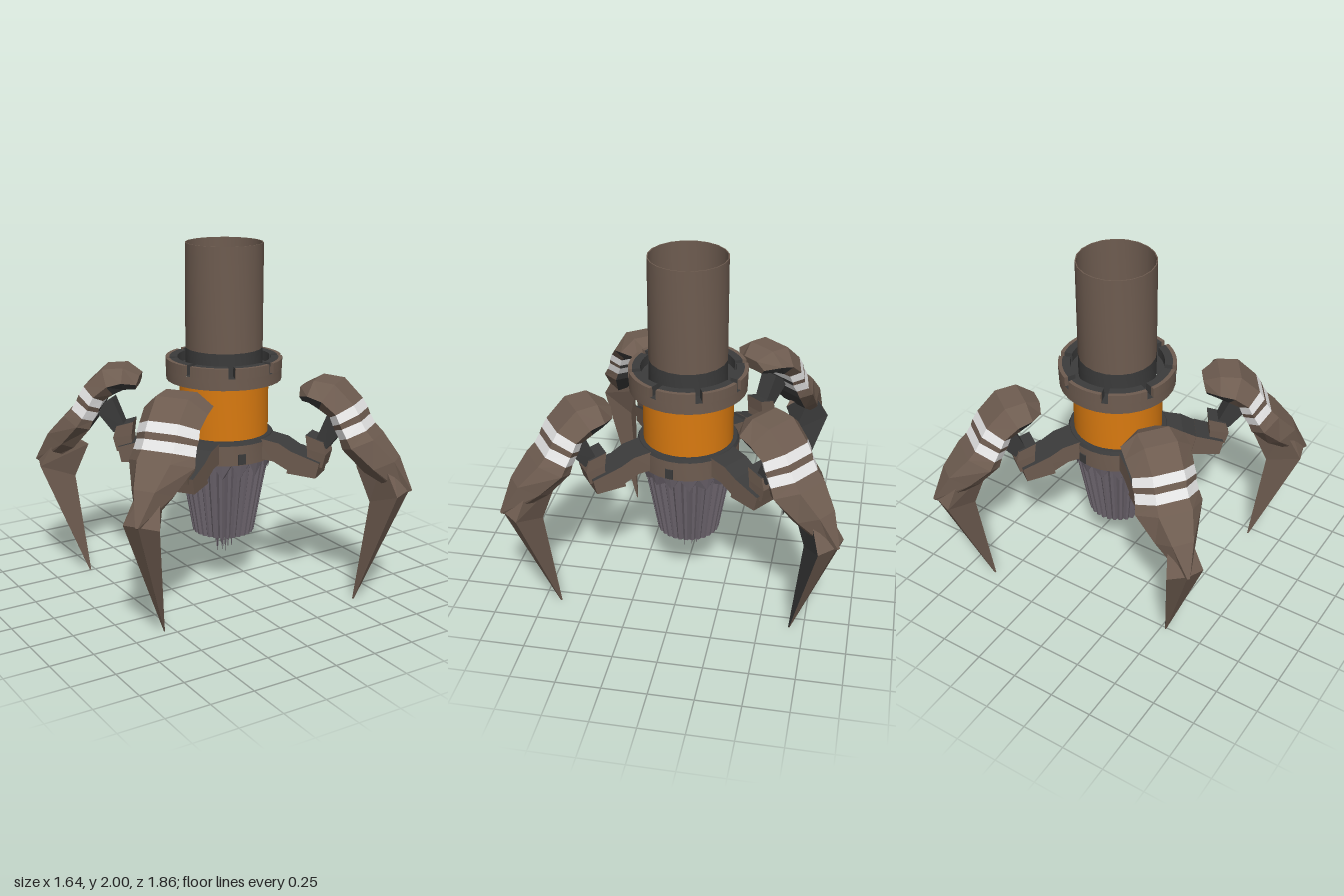
import * as THREE from 'three';
import { toCreasedNormals } from 'three/addons/utils/BufferGeometryUtils.js';

const mat = (name, color) => Object.assign(new THREE.MeshStandardMaterial({ color }), { name });

export function createModel() {
  const brown = mat('brown', 0x6e5c50), dark = mat('darkGrey', 0x3b3b3b), orange = mat('orange', 0xd97a10);
  const white = mat('paleGrey', 0xe6e6e6), steel = mat('purpleGrey', 0x6e666f);
  const model = new THREE.Group();
  const body = new THREE.Group();
  body.name = 'body';
  body.position.set(0.11, 0, -0.01);
  model.add(body);

  const add = (parent, name, geo, material) => {
    const mesh = new THREE.Mesh(geo, material);
    mesh.name = name;
    parent.add(mesh);
    return mesh;
  };
  const lathe = (name, pts, material, seg = 28) => add(body, name, toCreasedNormals(
    new THREE.LatheGeometry(pts.map(p => new THREE.Vector2(...p)), seg), 0.6), material);

  // Faceted loft through rings of points, one mesh per colour; pick(i, j) chooses the colour
  // of side j of span i, and i = -1 means an end cap.
  function loft(parent, name, rings, pick) {
    const tris = [], n = rings[0].length;
    const tri = (a, b, c, m) => tris.push([a, b, c, m]);
    for (let i = 0; i + 1 < rings.length; i++) for (let j = 0; j < n; j++) {
      const k = (j + 1) % n, a = rings[i], b = rings[i + 1], m = pick(i, j);
      tri(a[j], a[k], b[k], m);
      tri(a[j], b[k], b[j], m);
    }
    const first = rings[0], last = rings[rings.length - 1], cap = pick(-1, 0);
    for (let j = 1; j + 1 < n; j++) {
      tri(first[0], first[j + 1], first[j], cap);
      tri(last[0], last[j], last[j + 1], cap);
    }
    // turn the faces outward whichever way the rings run
    const volume = tris.reduce((s, [a, b, c]) => s + a.dot(b.clone().cross(c)), 0);
    const sets = new Map();
    for (const [a, b, c, m] of tris) {
      if (!sets.has(m)) sets.set(m, []);
      sets.get(m).push(...(volume > 0 ? [a, b, c] : [a, c, b]));
    }
    for (const [m, pts] of sets) {
      const geo = new THREE.BufferGeometry().setFromPoints(pts);
      geo.computeVertexNormals();
      add(parent, name, geo, m);
    }
  }

  // Leg sections: [outer radius, outer y, inner radius, inner y, half width]
  const HEX = [[0, 0.5], [0.6, 1], [1, 0.75], [1, -0.75], [0.6, -1], [0, -0.5]];
  const RECT = [[0, 1], [1, 1], [1, -1], [0, -1]];
  const DIAMOND = [[0, 0], [0.17, 1], [1, 0], [0.17, -1]];
  const rings = (shape, sections) => sections.map(([ox, oy, ix, iy, w]) =>
    shape.map(([t, k]) => new THREE.Vector3(ox + (ix - ox) * t, oy + (iy - oy) * t, k * w)));

  // Hollow upper pipe
  lathe('pipe', [[0.22, 1.41], [0.22, 2], [0.214, 2], [0.214, 1.34]], brown, 20);
  lathe('pipeFoot', [[0.22, 1.27], [0.22, 1.41]], dark, 20);
  lathe('pipeFunnel', [[0.214, 1.36], [0.15, 1.24]], dark);
  lathe('coreRing', [[0.15, 1.24], [0.125, 1.235], [0.125, 1.1]], brown);
  add(body, 'coreBall', new THREE.SphereGeometry(0.125, 24, 16), white).position.y = 1.13;

  // Notched upper collar: brown rim teeth backed by dark ones
  lathe('collarWall', [[0.33, 1.23], [0.33, 1.295]], brown, 32);
  lathe('collarUnderside', [[0.25, 1.23], [0.33, 1.23]], dark, 32);
  lathe('collarFloor', [[0.332, 1.296], [0.22, 1.28]], dark, 32);
  const tooth = (name, a, b, outer, inner, material) => {
    const shape = new THREE.Shape();
    shape.absarc(0, 0, outer, a, b, false);
    shape.absarc(0, 0, inner, b, a, true);
    const geo = new THREE.ExtrudeGeometry(shape, { depth: 0.058, bevelEnabled: false, curveSegments: 6 });
    add(body, name, geo.rotateX(-Math.PI / 2), material).position.y = 1.295;
  };
  for (let i = 0; i < 8; i++) {
    const a = i * Math.PI / 4 + 0.42, b = a + Math.PI / 4 - 0.12;
    tooth('collarTooth', a, b, 0.332, 0.31, brown);
    tooth('collarToothBack', a, b, 0.31, 0.265, dark);
  }

  // Orange drum and lower collar
  lathe('drum', [[0.255, 0.9], [0.255, 1.235]], orange, 32);
  lathe('lowerCollar', [[0.24, 0.785], [0.29, 0.785], [0.29, 0.9]], brown);
  lathe('lowerCollarTop', [[0.29, 0.9], [0.28, 0.92], [0.25, 0.92]], dark);
  for (let i = 0; i < 4; i++) {
    const notch = add(body, 'lowerNotch', new THREE.BoxGeometry(0.045, 0.06, 0.01), dark);
    const a = i * Math.PI / 2 - 0.2;
    notch.position.set(Math.sin(a) * 0.289, 0.82, Math.cos(a) * 0.289);
    notch.rotation.y = a;
  }

  // Fluted drill with a skirt of hanging points
  const flutes = (y, outer, inner) => Array.from({ length: 90 }, (_, i) => {
    const r = i % 3 ? outer : inner, a = -i * Math.PI / 45;
    return new THREE.Vector3(Math.cos(a) * r, y, Math.sin(a) * r);
  });
  loft(body, 'drill', [flutes(0.31, 0.18, 0.165), flutes(0.79, 0.265, 0.245)], () => steel);
  const skirt = (drop, r) => Array.from({ length: 32 }, (_, i) => {
    const a = -i * Math.PI / 16, low = i % 2 ? drop : 0;
    return new THREE.Vector3(Math.cos(a) * (r - low * 0.2), 0.785 - low, Math.sin(a) * (r - low * 0.2));
  });
  loft(body, 'drillSkirt', [skirt(0.09, 0.277), skirt(0, 0.282).map(p => p.setY(0.795))], () => steel);
  lathe('drillEnd', [[0, 0.306], [0.15, 0.306], [0.15, 0.312]], brown, 24);
  lathe('drillEndHub', [[0, 0.302], [0.085, 0.302], [0.085, 0.312]], dark, 20);
  for (let i = 0; i < 11; i++) {
    const a = i * 2.4, r = 0.018 * Math.sqrt(i);
    const needle = add(body, 'needle', new THREE.ConeGeometry(0.011, 0.14, 5).rotateX(Math.PI), steel);
    needle.position.set(Math.cos(a) * r, 0.247, Math.sin(a) * r);
  }

  // Four clawed legs; darkSides lists the dark faces of the claw
  function leg(name, degrees, darkSides) {
    const g = new THREE.Group();
    g.name = name;
    g.rotation.y = -degrees * Math.PI / 180;
    body.add(g);
    // arm from the lower collar, and the block at its end
    const topDark = (i, j) => (j === 3 ? dark : brown);
    loft(g, 'arm', rings(RECT, [
      [0.24, 0.92, 0.24, 0.8, 0.09], [0.37, 0.9, 0.34, 0.79, 0.085], [0.5, 0.83, 0.46, 0.73, 0.08],
    ]), topDark);
    loft(g, 'elbowBlock', rings(RECT, [
      [0.45, 0.86, 0.42, 0.73, 0.085], [0.61, 0.81, 0.59, 0.72, 0.08],
    ]), topDark);
    // link rising from the elbow into the armour
    loft(g, 'elbowLink', rings(RECT, [
      [0.62, 0.78, 0.53, 0.78, 0.055], [0.64, 0.86, 0.53, 0.88, 0.06], [0.62, 0.93, 0.52, 0.96, 0.06],
    ]), (i) => (i < 0 ? dark : brown));
    loft(g, 'upperLink', rings(RECT, [
      [0.64, 0.89, 0.57, 0.92, 0.045], [0.74, 1.02, 0.64, 1.09, 0.055],
    ]), () => dark);
    // bent armour plate with two pale bands and a dark underside
    loft(g, 'armour', rings(HEX, [
      [0.48, 1.235, 0.5, 1.16, 0.1], [0.57, 1.285, 0.56, 1.17, 0.18], [0.69, 1.275, 0.62, 1.14, 0.185],
      [0.8, 1.17, 0.68, 1.1, 0.175], [0.83, 1.12, 0.7, 1.055, 0.18], [0.845, 1.085, 0.71, 1.03, 0.175],
      [0.875, 1.035, 0.74, 0.98, 0.18], [0.92, 0.99, 0.76, 0.93, 0.19], [1.03, 0.87, 0.87, 0.8, 0.12],
      [1.12, 0.7, 1.06, 0.67, 0.015],
    ]), (i, j) => {
      if (i === 3 || i === 5) return white;
      return j === 2 || (i >= 0 && i < 2 && (j === 1 || j === 3)) ? dark : brown;
    });
    // pointed claw
    loft(g, 'claw', rings(DIAMOND, [
      [1.0, 0.88, 0.8, 0.8, 0.06], [1.105, 0.7, 0.885, 0.6, 0.105], [0.815, 0, 0.805, 0, 0.003],
    ]), (i, j) => (darkSides.includes(j) ? dark : brown));
  }
  leg('frontLeftLeg', 55, []);
  leg('backLeftLeg', -54.5, [1]);
  leg('frontRightLeg', 145, []);
  leg('backRightLeg', -142, [1]);
  return model;
}
